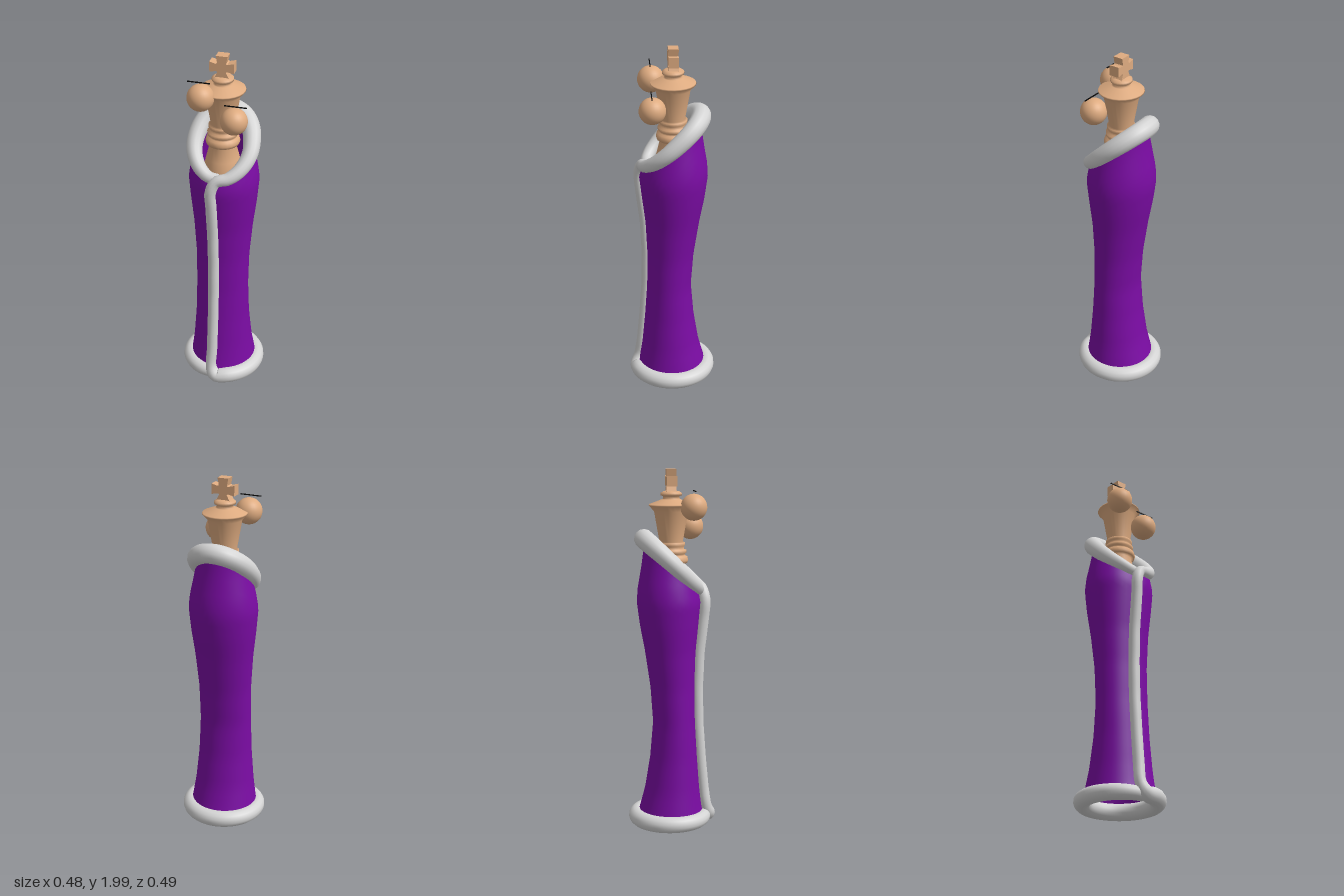
import * as THREE from 'three';

const mat = (name, color, side = THREE.FrontSide) => {
  const m = new THREE.MeshStandardMaterial({ color, side });
  m.name = name;
  return m;
};

// robe profile: height, half width, half depth, depth centre
const PROFILE = [
  [0.04, 0.195, 0.2, -0.01], [0.1, 0.186, 0.182, -0.008], [0.22, 0.169, 0.158, 0],
  [0.4, 0.154, 0.136, 0.007], [0.6, 0.148, 0.121, 0.009], [0.8, 0.15, 0.126, 0],
  [1.0, 0.165, 0.144, -0.011], [1.15, 0.183, 0.166, -0.017], [1.28, 0.194, 0.181, -0.019],
  [1.36, 0.183, 0.17, -0.024], [1.42, 0.169, 0.158, -0.025], [1.52, 0.15, 0.147, -0.02],
  [1.64, 0.143, 0.143, -0.015],
];

function section(y) {
  let i = 0;
  while (i < PROFILE.length - 2 && y > PROFILE[i + 1][0]) i++;
  const a = PROFILE[i], b = PROFILE[i + 1];
  const t = THREE.MathUtils.clamp((y - a[0]) / (b[0] - a[0]), 0, 1);
  return [1, 2, 3].map((k) => THREE.MathUtils.lerp(a[k], b[k], t));
}

// u runs round the cloth, from the outer front edge to the tucked inner edge
const angleAt = (u) => -0.09 + u * (Math.PI * 2 + 0.25);
function robePoint(u, y) {
  const [rx, rz, cz] = section(y);
  const s = 1 + 0.08 * (1 - u) ** 4 - 0.08 * u ** 4;
  const a = angleAt(u);
  return new THREE.Vector3(0.003 + rx * s * Math.sin(a), y, cz + rz * s * Math.cos(a));
}

// neckline climbs from the front to the nape
const backness = (u) => (1 - Math.cos(angleAt(u))) / 2;
const neckline = (u) => 1.345 + 0.28 * Math.pow(backness(u), 0.8);

// grid of points joined into a surface
function gridGeometry(rows, wrap) {
  const n = rows[0].length, pos = [], idx = [];
  rows.forEach((r) => r.forEach((p) => pos.push(p.x, p.y, p.z)));
  for (let i = 0; i < rows.length - 1; i++) {
    for (let j = 0; j < (wrap ? n : n - 1); j++) {
      const a = i * n + j, b = i * n + ((j + 1) % n), c = a + n, d = b + n;
      idx.push(a, b, d, a, d, c);
    }
  }
  const g = new THREE.BufferGeometry();
  g.setAttribute('position', new THREE.Float32BufferAttribute(pos, 3));
  g.setIndex(idx);
  g.computeVertexNormals();
  return g;
}

// round tube whose radius changes along the path
function taperedTube(points, radii, steps, sides) {
  const curve = new THREE.CatmullRomCurve3(points);
  const normal = new THREE.Vector3(0, 1, 0), rows = [];
  for (let i = 0; i <= steps; i++) {
    const t = i / steps, k = t * (points.length - 1), k0 = Math.min(Math.floor(k), points.length - 2);
    const r = THREE.MathUtils.lerp(radii[k0], radii[k0 + 1], k - k0);
    const p = curve.getPoint(t), tan = curve.getTangent(t);
    normal.addScaledVector(tan, -normal.dot(tan)).normalize();
    const side = new THREE.Vector3().crossVectors(tan, normal);
    rows.push(Array.from({ length: sides }, (_, j) => {
      const a = (j / sides) * Math.PI * 2;
      return p.clone().addScaledVector(normal, r * Math.cos(a)).addScaledVector(side, r * Math.sin(a));
    }));
  }
  return gridGeometry(rows, true);
}

export function createModel() {
  const group = new THREE.Group();
  const tan = mat('tan wood', 0xdeab80);
  const purple = mat('purple cloth', 0x7a0ca3, THREE.DoubleSide);
  const fur = mat('pale fur', 0xd4d4d4);
  const black = mat('black', 0x0a0a0a);
  const add = (name, geo, material, x = 0, y = 0, z = 0) => {
    const m = new THREE.Mesh(geo, material);
    m.name = name;
    m.position.set(x, y, z);
    group.add(m);
    return m;
  };

  // wrapped robe, open at the bottom
  const rows = [];
  for (let i = 0; i <= 36; i++) {
    const row = [];
    for (let j = 0; j <= 48; j++) {
      const u = j / 48;
      row.push(robePoint(u, THREE.MathUtils.lerp(0.05, neckline(u), i / 36)));
    }
    rows.push(row);
  }
  add('robe', gridGeometry(rows, false), purple);

  // one continuous fur trim: collar, front edge, hem
  const path = [], radii = [];
  const put = (p, r) => { path.push(p); radii.push(r); };
  put(robePoint(1, neckline(1)), 0.002);
  for (let i = 0; i <= 20; i++) {
    const u = 0.99 - (i / 20) * 0.97;
    put(robePoint(u, neckline(u)), 0.03 + 0.024 * Math.sqrt(backness(u)));
  }
  for (let i = 0; i <= 12; i++) {
    const y = 1.29 - (i / 12) * 1.18;
    put(robePoint(0, y), 0.031);
  }
  for (let i = 0; i <= 20; i++) {
    const u = 0.02 + (i / 20) * 0.96;
    put(robePoint(u, 0.056), i === 0 ? 0.042 : 0.047 - 0.012 * u ** 6);
  }
  put(robePoint(0.99, 0.056), 0.002);
  add('furTrim', taperedTube(path, radii, 220, 14), fur);

  // turned body with neck rings and flared head
  const profile = [
    [0.115, 1.2], [0.108, 1.34], [0.09, 1.41], [0.07, 1.49], [0.088, 1.495], [0.093, 1.51],
    [0.088, 1.53], [0.075, 1.535], [0.075, 1.545], [0.083, 1.55], [0.083, 1.565], [0.07, 1.57],
    [0.07, 1.585], [0.076, 1.59], [0.076, 1.605], [0.064, 1.61], [0.093, 1.775], [0.122, 1.805],
    [0.12, 1.812], [0.052, 1.838], [0.045, 1.842], [0.045, 1.855], [0.058, 1.86], [0.058, 1.872],
    [0.042, 1.882], [0, 1.888],
  ].map(([r, y]) => new THREE.Vector2(r, y));
  add('turnedBody', new THREE.LatheGeometry(profile, 24), tan, 0.003, 0, -0.011);

  // cross finial with flared arms
  const cross = new THREE.Shape();
  [[-0.04, 0], [0.04, 0], [0.022, 0.037], [0.03, 0.041], [0.065, 0.034], [0.065, 0.09], [0.03, 0.081],
    [0.023, 0.085], [0.031, 0.125], [-0.031, 0.125], [-0.023, 0.085], [-0.03, 0.081], [-0.065, 0.09],
    [-0.065, 0.034], [-0.03, 0.041], [-0.022, 0.037]]
    .forEach(([x, y], i) => (i ? cross.lineTo(x, y) : cross.moveTo(x, y)));
  add('crossFinial', new THREE.ExtrudeGeometry(cross, { depth: 0.054, bevelEnabled: false }), tan, 0.003, 1.875, -0.038);

  // round eyes with thin brows above
  [['right', -0.085, 1.8], ['left', 0.092, 1.687]].forEach(([side, x, y]) => {
    add(side + 'Eye', new THREE.SphereGeometry(0.072, 28, 18), tan, x, y, 0.103);
    add(side + 'Brow', new THREE.BoxGeometry(0.12, 0.005, 0.005), black, x - 0.008 + (x > 0 ? 0.016 : 0), y + 0.086, 0.107);
  });

  return group;
}
